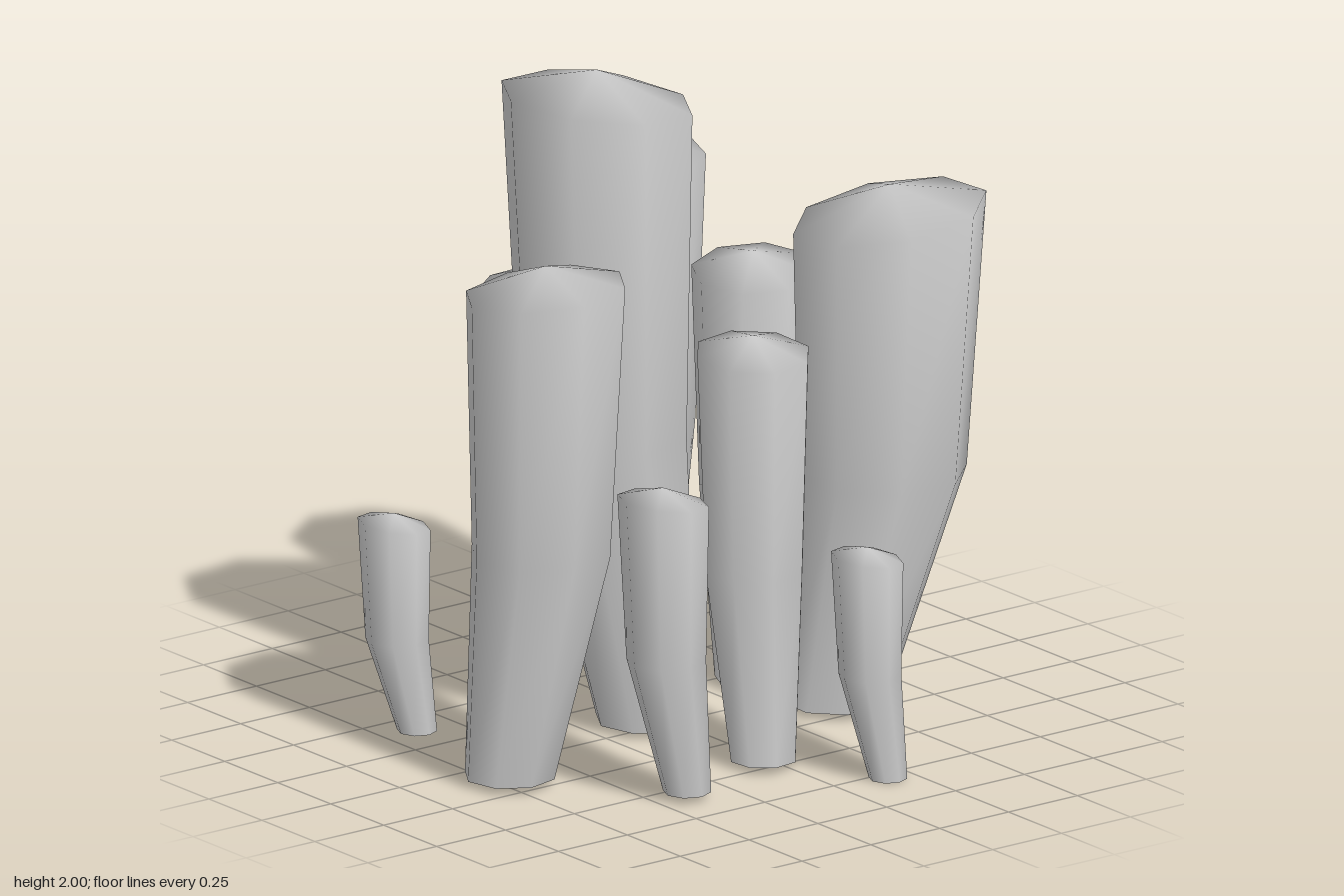
import * as THREE from 'three';

const SIDES = 8;
const material = new THREE.MeshStandardMaterial({ color: 0xcccccc, side: THREE.DoubleSide });

// Bent, tapering stalk: base, knee and rim rings, closed by a low pointed cap.
// base / top are [x, z] centres, phase turns the octagon (degrees).
function stalkGeometry({ base, top, y0, height, r0, r1, phase }) {
  const lean = [top[0] - base[0], top[1] - base[1]];
  const tilt = 1.6 / height; // the rim rises on the side the stalk leans to
  const rimY = height - 0.3 * r1;
  const rings = [
    { k: 0, y: y0, r: r0, tilt: 0 },
    { k: 0.87, y: height * 0.45, r: r1 * 0.87, tilt: 0 },
    { k: 1, y: rimY, r: r1, tilt },
  ];
  const pos = [], index = [];
  const addRing = ({ k, y, r, tilt }) => {
    for (let i = 0; i < SIDES; i++) {
      const a = THREE.MathUtils.degToRad(phase) + (i / SIDES) * Math.PI * 2;
      const dx = r * Math.cos(a), dz = r * Math.sin(a);
      pos.push(base[0] + lean[0] * k + dx,
        y + tilt * (lean[0] * dx + lean[1] * dz),
        base[1] + lean[1] * k + dz);
    }
  };
  rings.forEach(addRing);

  // walls
  for (let j = 0; j < rings.length - 1; j++) {
    for (let i = 0; i < SIDES; i++) {
      const n = (i + 1) % SIDES;
      const a = j * SIDES + i, b = j * SIDES + n;
      index.push(a, a + SIDES, b, b, a + SIDES, b + SIDES);
    }
  }
  // pointed cap
  const rim = (rings.length - 1) * SIDES;
  const apex = pos.length / 3;
  pos.push(top[0], height, top[1]);
  for (let i = 0; i < SIDES; i++) index.push(rim + i, apex, rim + ((i + 1) % SIDES));

  // flat underside with its own corners, so its edge stays sharp
  const under = pos.length / 3;
  addRing(rings[0]);
  for (let i = 1; i < SIDES - 1; i++) index.push(under, under + i, under + i + 1);

  const g = new THREE.BufferGeometry();
  g.setAttribute('position', new THREE.Float32BufferAttribute(pos, 3));
  g.setIndex(index);
  g.computeVertexNormals();
  return g;
}

const stalks = {
  centreStalk: { base: [-0.075, -0.03], top: [-0.225, -0.075], y0: 0.02, height: 2.0, r0: 0.155, r1: 0.285, phase: 8 },
  frontLeftStalk: { base: [0.46, 0.16], top: [0.6, 0.235], y0: 0.02, height: 1.57, r0: 0.155, r1: 0.285, phase: 25 },
  frontRightStalk: { base: [-0.715, 0.15], top: [-0.65, 0.235], y0: 0.02, height: 1.57, r0: 0.135, r1: 0.24, phase: 10 },
  backLeftStalk: { base: [0.21, -0.51], top: [0.285, -0.625], y0: 0.02, height: 1.58, r0: 0.135, r1: 0.245, phase: -7 },
  backRightStalk: { base: [-0.19, -0.535], top: [-0.12, -0.49], y0: 0.02, height: 1.28, r0: 0.1, r1: 0.178, phase: -13 },
  sideLeftStalk: { base: [0.39, -0.15], top: [0.455, -0.22], y0: 0.02, height: 1.28, r0: 0.105, r1: 0.182, phase: 3 },
  frontMiddleStalk: { base: [-0.04, 0.47], top: [-0.028, 0.405], y0: 0.02, height: 1.28, r0: 0.1, r1: 0.172, phase: 16 },
  smallRightStalk: { base: [-0.402, 0.58], top: [-0.478, 0.566], y0: 0.02, height: 0.95, r0: 0.07, r1: 0.133, phase: 0 },
  smallFrontStalk: { base: [0.17, 0.785], top: [0.12, 0.752], y0: 0, height: 0.7, r0: 0.056, r1: 0.105, phase: 0 },
  smallBackStalk: { base: [-0.69, -0.32], top: [-0.748, -0.353], y0: 0.03, height: 0.69, r0: 0.058, r1: 0.106, phase: 0 },
};

export function createModel() {
  const model = new THREE.Group();
  model.name = 'stalkCluster';
  for (const [name, spec] of Object.entries(stalks)) {
    const mesh = new THREE.Mesh(stalkGeometry(spec), material);
    mesh.name = name;
    model.add(mesh);
  }
  return model;
}
